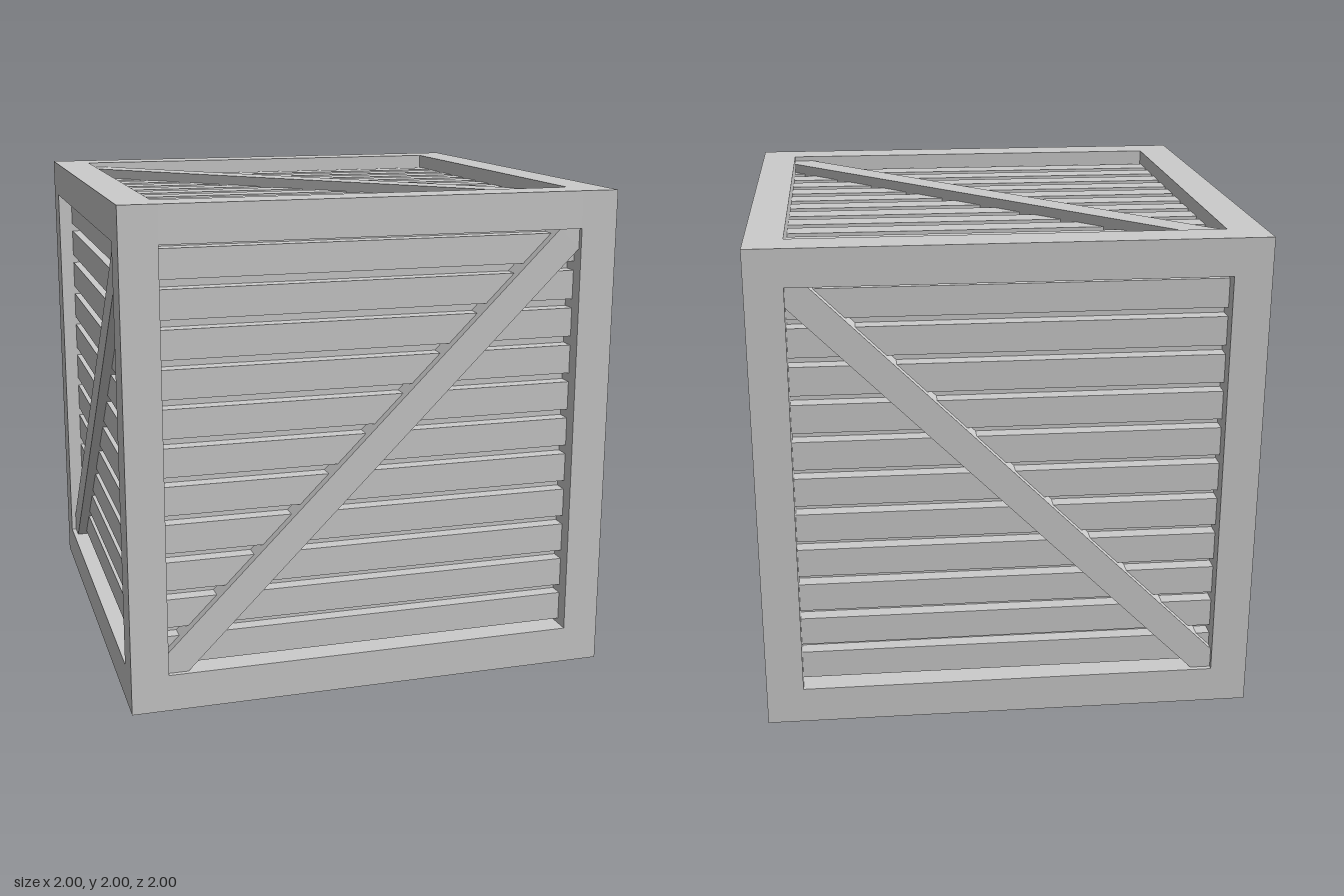
import * as THREE from 'three';

const HALF = 1;          // half the crate size
const BEAM = 0.15;       // frame beam thickness
const OPEN = HALF - BEAM; // half the panel opening
const CORE = 0.88;       // half size of the solid inside
const SLAT_FACE = 0.94;  // distance of the slat faces from the centre
const BRACE_FACE = 0.98; // distance of the brace faces from the centre

export function createModel() {
  const model = new THREE.Group();
  model.name = 'crate';
  const material = new THREE.MeshStandardMaterial({ color: 0xcccccc, flatShading: true });

  const add = (parent, name, geometry, x = 0, y = 0, z = 0) => {
    const mesh = new THREE.Mesh(geometry, material);
    mesh.name = name;
    mesh.position.set(x, y, z);
    parent.add(mesh);
    return mesh;
  };

  // everything is built around the centre of the cube
  const body = new THREE.Group();
  body.name = 'body';
  body.position.y = HALF;
  model.add(body);

  // frame: four posts, four rails along x and four along z
  const c = HALF - BEAM / 2;
  for (const a of [-c, c]) {
    for (const b of [-c, c]) {
      add(body, 'cornerPost', new THREE.BoxGeometry(BEAM, 2 * HALF, BEAM), a, 0, b);
      add(body, 'crossRail', new THREE.BoxGeometry(2 * OPEN, BEAM, BEAM), 0, a, b);
      add(body, 'sideRail', new THREE.BoxGeometry(BEAM, BEAM, 2 * OPEN), a, b, 0);
    }
  }

  // inner box behind the slats
  add(body, 'innerBox', new THREE.BoxGeometry(2 * CORE, 2 * CORE, 2 * CORE));

  // diagonal brace trimmed to the opening; slope is +1 or -1
  const braceGeometry = (slope) => {
    const o = OPEN, t = OPEN - 0.083;
    const points = [[-o, -o], [-t, -o], [o, t], [o, o], [t, o], [-o, -t]];
    const shape = new THREE.Shape(points.map(([x, y]) => new THREE.Vector2(x * slope, y)));
    return new THREE.ExtrudeGeometry(shape, { depth: BRACE_FACE - CORE, bevelEnabled: false });
  };

  // one slatted panel facing +z, then turned to its side of the cube
  const addPanel = (name, rotX, rotY, slope, slatWidth) => {
    const panel = new THREE.Group();
    panel.name = name;
    panel.rotation.set(rotX, rotY, 0);
    body.add(panel);
    const depth = SLAT_FACE - CORE;
    for (let i = -5; i <= 5; i++) {
      add(panel, 'slat', new THREE.BoxGeometry(2 * OPEN, slatWidth, depth), 0, i * 0.154, CORE + depth / 2);
    }
    add(panel, 'brace', braceGeometry(slope), 0, 0, CORE);
  };

  const q = Math.PI / 2;
  addPanel('frontPanel', 0, 0, 1, 0.117);
  addPanel('backPanel', 0, Math.PI, -1, 0.117);
  addPanel('leftPanel', 0, q, -1, 0.117);
  addPanel('rightPanel', 0, -q, 1, 0.117);
  addPanel('topPanel', -q, 0, -1, 0.1);
  addPanel('bottomPanel', q, 0, 1, 0.1);

  return model;
}
